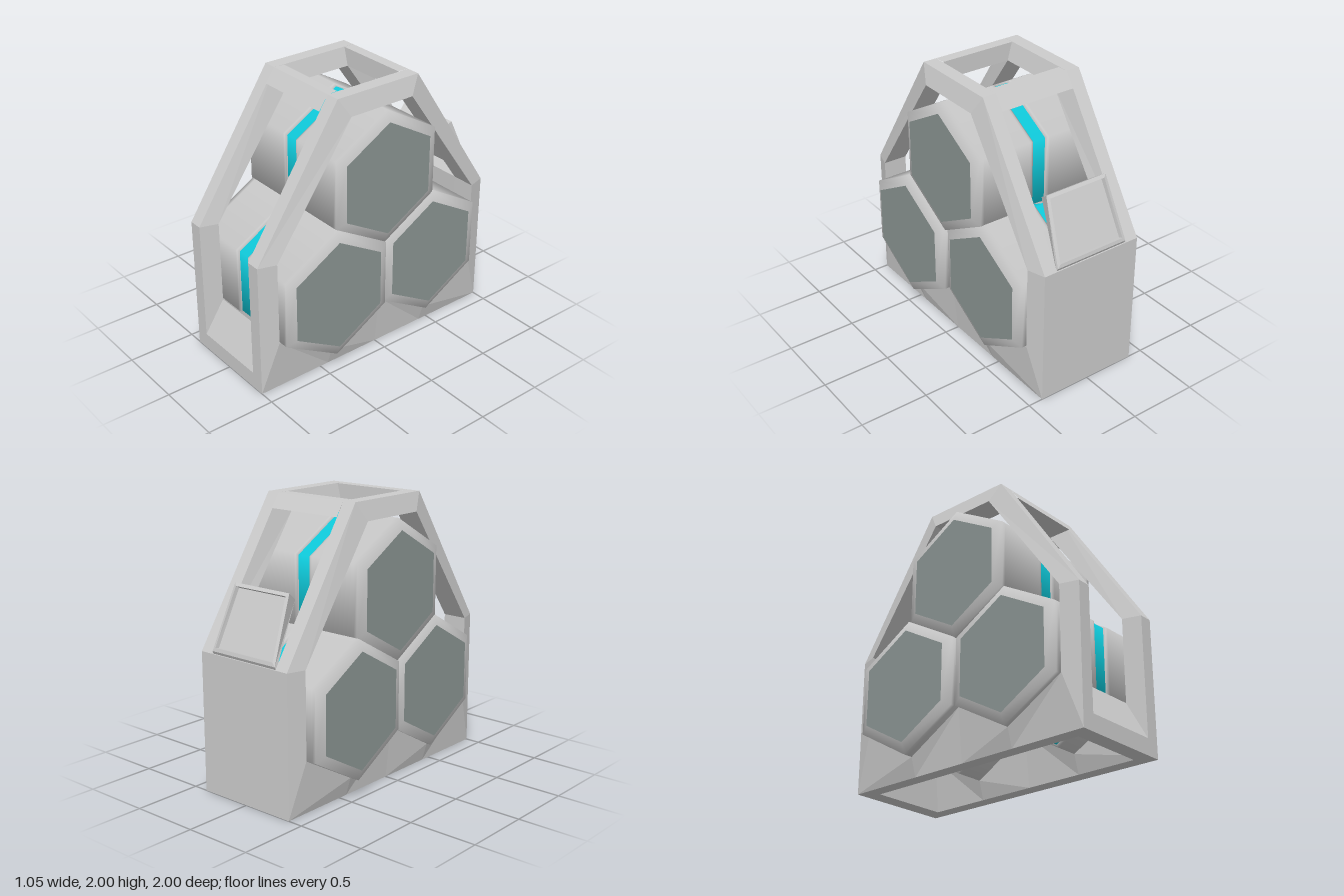
import * as THREE from 'three';

const grey = new THREE.MeshStandardMaterial({ color: 0xcccccc });
const flatGrey = new THREE.MeshStandardMaterial({ color: 0xcccccc, flatShading: true });
const cyan = new THREE.MeshStandardMaterial({ color: 0x0fcfe0 });
const capGrey = new THREE.MeshStandardMaterial({ color: 0x8b9593 });

// Flat-shaded skin between rings of [x, y, z] points
function loft(rings, { wrapRings = false, wrapPoints = true, flip = false } = {}) {
  const pos = [];
  const m = rings.length, n = rings[0].length;
  for (let k = 0; k < (wrapRings ? m : m - 1); k++) {
    for (let i = 0; i < (wrapPoints ? n : n - 1); i++) {
      const r = rings[k], s = rings[(k + 1) % m], j = (i + 1) % n;
      const [a, b, c, d] = [r[i], s[i], s[j], r[j]];
      pos.push(...(flip ? [a, c, b, a, d, c] : [a, b, c, a, c, d]).flat());
    }
  }
  const geo = new THREE.BufferGeometry();
  geo.setAttribute('position', new THREE.Float32BufferAttribute(pos, 3));
  geo.computeVertexNormals();
  return geo;
}

function add(parent, name, geo, material) {
  const mesh = new THREE.Mesh(geo, material);
  mesh.name = name;
  parent.add(mesh);
  return mesh;
}

// Crosspiece between the walls; section points are [z, y, halfWidth]
function crossPiece(section) {
  const rings = section.map(([z, y, w]) => [[w, y, z], [-w, y, z]]);
  return loft(rings, { wrapRings: true, wrapPoints: false });
}

// Side wall: outline and window as [z, y], thicker towards the window
const outline = [[1, 1], [0.34, 2], [-0.34, 2], [-1, 1], [-1, 0], [-0.43, 0], [0, 0], [0.43, 0], [1, 0]];
const windowEdge = [[0.87, 1], [0.26, 1.87], [-0.26, 1.87], [-0.87, 1], [-0.87, 0.385],
  [-0.43, 0.135], [0, 0.385], [0.43, 0.135], [0.87, 0.385]];

function sideWall(side) {
  const at = (path, x) => path.map(([z, y]) => [side * x, y, z]);
  return loft(
    [at(outline, 0.39), at(windowEdge, 0.43), at(windowEdge, 0.25), at(outline, 0.29)],
    { wrapRings: true, flip: side < 0 });
}

// Tilted tray on the back slope, with a raised rim and sunken panel
function trayGeometry() {
  const corners = (w0, y0, z0, w1, y1, z1) => [[w0, y0, z0], [w1, y1, z1], [-w1, y1, z1], [-w0, y0, z0]];
  const centre = (y, z) => Array(4).fill([0, y, z]);
  return loft([
    centre(1.2, -0.865),
    corners(0.29, 1.0, -0.99, 0.215, 1.4, -0.73),
    corners(0.285, 1.02, -1.0, 0.245, 1.46, -0.815),
    corners(0.262, 1.045, -0.995, 0.225, 1.44, -0.83),
    corners(0.255, 1.04, -0.97, 0.22, 1.425, -0.805),
    centre(1.2325, -0.8875),
  ]);
}

// Hexagonal drum along x, with bevelled ends and a groove for the stripe
function makeDrum(name) {
  const drum = new THREE.Group();
  drum.name = name;
  const R = 0.495, capR = 0.416, end = 0.51;
  const profile = [[capR, -end], [R, -0.48], [R, -0.45], [R, -0.085], [R, -0.07], [0.482, -0.055], [0.45, -0.055],
    [0.45, 0.045], [0.482, 0.045], [R, 0.06], [R, 0.075], [R, 0.45], [R, 0.48], [capR, end]];
  const body = new THREE.LatheGeometry(profile.map(p => new THREE.Vector2(...p)), 6, Math.PI / 2);
  add(drum, 'drumBody', body.rotateZ(-Math.PI / 2), grey);

  const stripe = new THREE.CylinderGeometry(0.48, 0.48, 0.1, 6, 1, true, Math.PI / 2);
  add(drum, 'drumStripe', stripe.rotateZ(-Math.PI / 2).translate(-0.005, 0, 0), cyan);

  for (const side of [1, -1]) {
    const cap = new THREE.CircleGeometry(capR, 6, Math.PI / 2);
    add(drum, side > 0 ? 'leftCap' : 'rightCap', cap.rotateY(side * Math.PI / 2).translate(side * end, 0, 0), capGrey);
  }
  return drum;
}

export function createModel() {
  const model = new THREE.Group();
  model.name = 'drumRack';

  // Frame
  const frame = new THREE.Group();
  frame.name = 'frame';
  model.add(frame);
  add(frame, 'leftWall', sideWall(1), flatGrey);
  add(frame, 'rightWall', sideWall(-1), flatGrey);
  add(frame, 'frontSill', crossPiece([[1, 0, 0.29], [1, 0.12, 0.29], [0.87, 0.385, 0.25], [0.88, 0, 0.29]]), flatGrey);
  add(frame, 'backWall', crossPiece([[-1, 1, 0.29], [-1, 0, 0.29], [-0.88, 0, 0.29], [-0.87, 1, 0.25]]), flatGrey);
  const bar = [[0.26, 1.87, 0.25], [0.41, 1.9, 0.29], [0.34, 2, 0.29], [0.26, 2, 0.285]];
  add(frame, 'frontTopBar', crossPiece(bar), flatGrey);
  const backBar = bar.map(([z, y, w]) => [-z, y, w]).reverse();
  add(frame, 'backTopBar', crossPiece(backBar), flatGrey);

  // Tray
  add(model, 'backTray', trayGeometry(), flatGrey);

  // Stacked drums, each shifted slightly along its axis
  const drums = [['topDrum', 0, 1.37, 0], ['frontDrum', 0.015, 0.63, 0.43], ['backDrum', -0.02, 0.63, -0.43]];
  for (const [name, x, y, z] of drums) {
    const drum = makeDrum(name);
    drum.position.set(x, y, z);
    model.add(drum);
  }
  return model;
}
